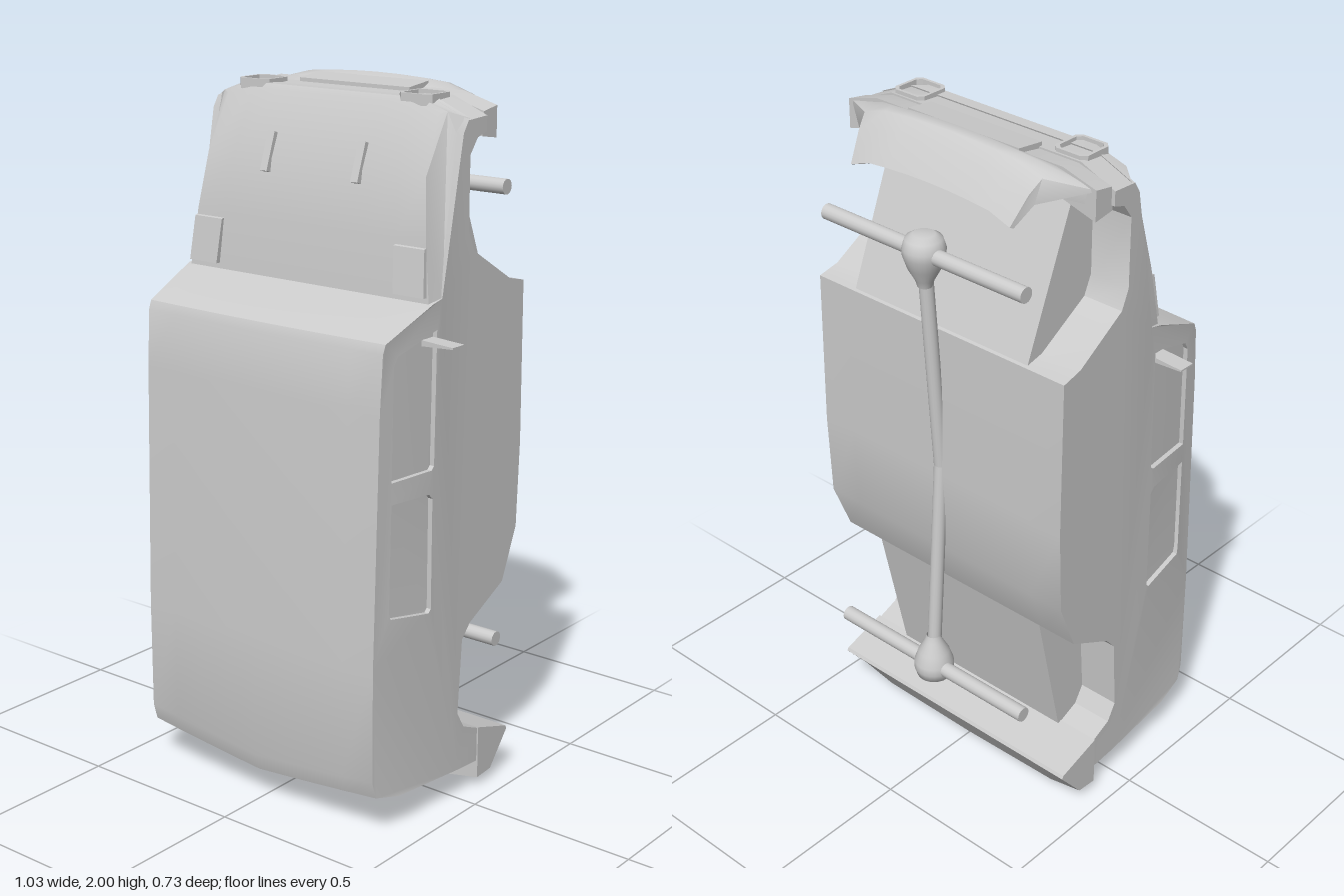
import * as THREE from 'three';
import { toCreasedNormals } from 'three/addons/utils/BufferGeometryUtils.js';

const mat = new THREE.MeshStandardMaterial({ color: 0xcccccc, side: THREE.DoubleSide });
const { clamp, lerp } = THREE.MathUtils;

export function createModel() {
  const root = new THREE.Group();

  const add = (name, geo, x = 0, y = 0, z = 0, rx = 0) => {
    const m = new THREE.Mesh(geo, mat);
    m.name = name;
    m.position.set(x, y, z);
    m.rotation.x = rx;
    root.add(m);
    return m;
  };

  // Side profile of [z, y] points swept across x; rule(p, s) bends it, s = 0 at centre, 1 at the sides
  const toPath = (Type, pts) => new Type(pts.map(([z, y]) => new THREE.Vector2(-z, y)));
  const slab = (name, pts, half, rule, holes = [], crease = 0.5) => {
    const shape = toPath(THREE.Shape, pts);
    shape.holes = holes.map((h) => toPath(THREE.Path, h));
    const geo = new THREE.ExtrudeGeometry(shape, { depth: 2 * half, steps: 8, bevelEnabled: false });
    geo.translate(0, 0, -half).rotateY(Math.PI / 2);
    const pos = geo.attributes.position;
    const p = new THREE.Vector3();
    for (let i = 0; i < pos.count; i++) {
      p.fromBufferAttribute(pos, i);
      rule(p, Math.abs(p.x) / half);
      pos.setXYZ(i, p.x, p.y, p.z);
    }
    return add(name, toCreasedNormals(geo, crease));
  };

  const bodyWidth = (z) => (z > 0.14
    ? lerp(0.43, 0.408, (z - 0.14) / 0.22)
    : lerp(0.44, 0.43, clamp((z + 0.27) / 0.41, 0, 1)));
  const corner = (s) => Math.max(0, s - 0.75) * 4;

  // Rounded nose corners, slightly pointed tail and crowned roof
  const bodyRule = (p, s) => {
    p.x *= bodyWidth(p.z) / 0.43;
    if (p.y > 1.88) p.y -= 0.045 * corner(s) * clamp((p.y - 1.88) / 0.08, 0, 1);
    if (p.y < 0.16) p.y += 0.035 * s;
    if (p.z > 0.3) p.z -= 0.01 * s * s;
  };

  // Body shell with wheel arches and window openings
  const windows = [
    [[0.29, 1.01], [0.285, 1.32], [0.27, 1.345], [0.12, 1.39], [0.125, 1.02], [0.135, 1.01]],
    [[0.29, 0.95], [0.305, 0.65], [0.29, 0.63], [0.14, 0.605], [0.13, 0.615], [0.13, 0.93], [0.145, 0.945]],
  ];
  slab('body', [
    [0.35, 0.09], [0.365, 0.14], [0.365, 0.5], [0.345, 1.2], [0.335, 1.36], [0.325, 1.385],
    [0.14, 1.46], [0.1, 1.47], [0.02, 1.9], [0, 1.965], [-0.08, 1.97], [-0.08, 1.89],
    [-0.035, 1.87], [-0.01, 1.83], [-0.01, 1.63], [-0.035, 1.575], [-0.2, 1.475], [-0.265, 1.46],
    [-0.27, 1], [-0.26, 0.75], [-0.2, 0.6], [-0.05, 0.52], [-0.015, 0.48], [0, 0.26],
    [-0.03, 0.21], [-0.1, 0.18], [-0.1, 0.045], [0, 0.05], [0.25, 0.065],
  ], 0.43, bodyRule, windows);

  // Window panes set back from the doors
  windows.forEach((w, i) => slab(i ? 'rearWindows' : 'frontWindows', w, 0.43, (p) => {
    p.x *= (bodyWidth(p.z) - 0.014) / 0.43;
  }));

  // Floor between the wheel arches
  slab('frontFloor', [[-0.26, 1.45], [0, 1.45], [0, 1.9], [-0.08, 1.9]], 0.31, () => {});
  slab('rearFloor', [[-0.2, 0.61], [0.02, 0.61], [0.02, 0.15], [-0.1, 0.15]], 0.31, () => {});

  // Hood narrowing toward the nose with sloping flanks
  slab('hood', [
    [0.142, 1.455], [0.13, 1.62], [0.105, 1.78], [0.035, 1.955], [0.025, 1.97],
    [-0.01, 1.97], [0.018, 1.89], [0.098, 1.455],
  ], 0.43, (p, s) => {
    const t = clamp((p.y - 1.46) / 0.5, 0, 1);
    const height = clamp((p.z - 0.105 + 0.186 * (p.y - 1.46)) / 0.025, 0, 1);
    p.x *= (0.43 - height * (0.012 + 0.065 * t)) / 0.43;
    if (p.y > 1.88) p.y -= 0.045 * corner(s) * (1 - 0.6 * height);
  });

  // Front bumper, centre plate and curved valance
  slab('frontBumper', [[-0.075, 1.9], [-0.08, 1.965], [-0.14, 1.975], [-0.14, 1.89]], 0.425, (p, s) => {
    p.y -= 0.03 * corner(s);
  });
  slab('grillePlate', [[-0.07, 1.95], [-0.07, 1.98], [-0.155, 1.99], [-0.155, 1.93]], 0.19, () => {});
  slab('frontValance', [
    [-0.125, 1.93], [-0.13, 1.975], [-0.17, 2], [-0.2, 1.995], [-0.235, 1.96],
    [-0.285, 1.885], [-0.275, 1.88], [-0.22, 1.93], [-0.17, 1.94],
  ], 0.3, (p, s) => {
    const w = p.z > -0.155 ? lerp(0.32, 0.425, clamp((p.z + 0.155) / 0.025, 0, 1))
      : lerp(0.32, 0.275, (-p.z - 0.155) / 0.13);
    p.x *= w / 0.3;
    p.y -= 0.02 * s * s + 0.015 * corner(s);
  }, [], 0.8);

  // Rear bumper
  slab('rearBumper', [[-0.095, 0], [-0.16, 0.005], [-0.24, 0.13], [-0.235, 0.14], [-0.095, 0.185]], 0.44, (p, s) => {
    if (p.y < 0.1) p.y += 0.008 * s + 0.02 * corner(s);
  });

  // Rounded square outline for headlight rims
  const square = (Type, h, c) => new Type([
    [-h, -h + c], [-h + c, -h], [h - c, -h], [h, -h + c], [h, h - c], [h - c, h], [-h + c, h], [-h, h - c],
  ].map(([x, y]) => new THREE.Vector2(x, y)));
  const rim = square(THREE.Shape, 0.053, 0.014);
  rim.holes = [square(THREE.Path, 0.044, 0.012)];
  const rimGeo = new THREE.ExtrudeGeometry(rim, { depth: 0.03, bevelEnabled: false });
  rimGeo.rotateX(-Math.PI / 2);

  for (const side of [-1, 1]) {
    const n = side > 0 ? 'left' : 'right';
    add(n + 'HeadlightRim', rimGeo, side * 0.278, 1.95, -0.02);
    add(n + 'HoodSlat', new THREE.BoxGeometry(0.024, 0.11, 0.03), side * 0.157, 1.795, 0.095, -0.33);
    // Vent block at the hood base
    slab(n + 'Cowl', [[0.155, 1.475], [0.14, 1.6], [0.1, 1.61], [0.1, 1.475]], 0.05, (p) => {
      p.x += side * (0.36 - 0.08 * (p.y - 1.475));
    });
    // Wing mirror
    const mirror = new THREE.BoxGeometry(0.1, 0.016, 0.05);
    const pos = mirror.attributes.position;
    for (let i = 0; i < pos.count; i++) {
      if (pos.getX(i) * side > 0) pos.setY(i, pos.getY(i) * 0.3);
    }
    mirror.computeVertexNormals();
    add(n + 'Mirror', mirror, side * 0.467, 1.362, 0.145);
  }

  // Axles with pear-shaped differentials
  const pear = [[0, -0.05], [0.03, -0.05], [0.05, -0.038], [0.058, -0.012], [0.057, 0.01], [0.045, 0.045], [0.026, 0.08], [0.02, 0.1]]
    .map(([r, y]) => new THREE.Vector2(r, y));
  const bar = new THREE.CylinderGeometry(0.022, 0.022, 0.7, 16).rotateZ(Math.PI / 2);
  for (const [n, y, flip] of [['front', 1.7, Math.PI], ['rear', 0.365, 0]]) {
    add(n + 'Axle', bar, 0, y, -0.308);
    add(n + 'Differential', new THREE.LatheGeometry(pear, 24), 0, y, -0.303, flip);
  }

  // Drive shaft bowed up into the floor
  for (const [n, y] of [['front', 1.63], ['rear', 0.43]]) {
    const path = new THREE.LineCurve3(new THREE.Vector3(0, y, -0.3), new THREE.Vector3(0, 1.03, -0.257));
    add(n + 'DriveShaft', new THREE.TubeGeometry(path, 1, 0.02, 16));
  }

  return root;
}
